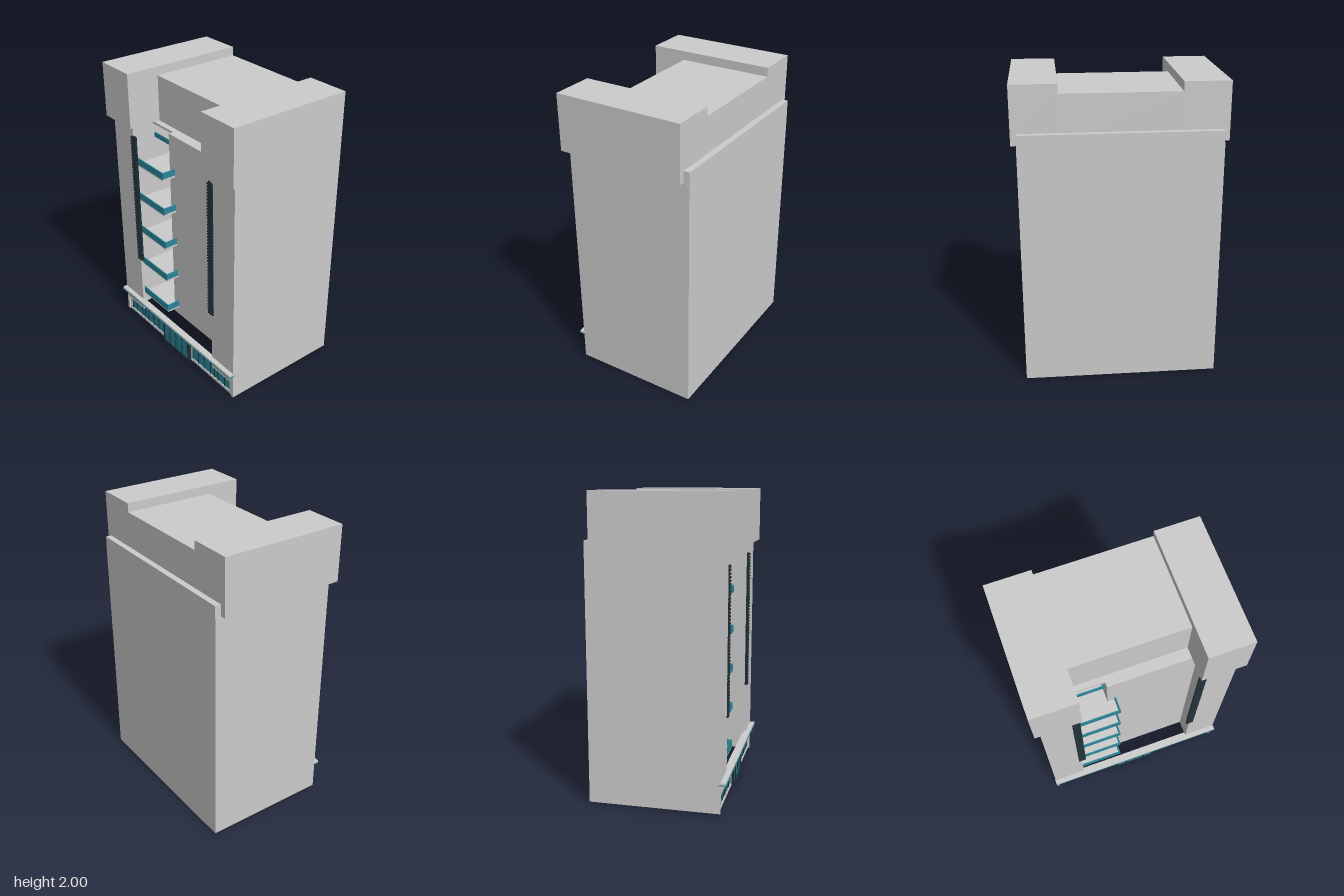
import * as THREE from 'three';

const grey = new THREE.MeshStandardMaterial({ color: 0xcccccc });
const teal = new THREE.MeshStandardMaterial({ color: 0x2a8799 });
const dark = new THREE.MeshStandardMaterial({ color: 0x1e2d33 });

export function createModel() {
  const model = new THREE.Group();

  // Box given by its minimum and maximum on each axis
  function box(parent, name, [x0, x1], [y0, y1], [z0, z1], material = grey) {
    const mesh = new THREE.Mesh(new THREE.BoxGeometry(x1 - x0, y1 - y0, z1 - z0), material);
    mesh.position.set((x0 + x1) / 2, (y0 + y1) / 2, (z0 + z1) / 2);
    mesh.name = name;
    parent.add(mesh);
    return mesh;
  }
  function group(name) {
    const g = new THREE.Group();
    g.name = name;
    model.add(g);
    return g;
  }
  // The same x span on either side of the centre
  const span = (s, a, b) => (s > 0 ? [a, b] : [-b, -a]);

  // Main shaft, its front bay and the raised rear parapet
  const shaft = group('shaft');
  box(shaft, 'mainBlock', [-0.64, 0.64], [0.2, 1.625], [-0.45, 0.1]);
  box(shaft, 'frontBay', [-0.17, 0.415], [0.2, 1.625], [0.1, 0.295]);
  box(shaft, 'rearParapet', [-0.637, 0.637], [1.625, 1.7], [-0.45, -0.41]);
  box(shaft, 'rearGroundWall', [-0.64, 0.64], [0.01, 0.2], [-0.45, -0.43]);

  // Crown between the two roof blocks
  box(model, 'crown', [-0.38, 0.38], [1.625, 1.94], [-0.41, 0.22]);

  // Mirrored towers, roof blocks, ground walls and louvres
  for (const s of [-1, 1]) {
    const side = group(s > 0 ? 'leftWing' : 'rightWing');
    box(side, 'tower', span(s, 0.415, 0.64), [0.2, 1.625], [0.1, 0.41]);
    box(side, 'roofBlock', span(s, 0.38, 0.675), [1.625, 2], [-0.41, 0.45]);
    box(side, 'groundWall', span(s, 0.62, 0.64), [0.01, 0.2], [-0.43, 0.41]);
    box(side, 'towerBand', span(s, 0.415, 0.62), [0.125, 0.2], [0.39, 0.41]);
    box(side, 'cornerPost', span(s, 0.595, 0.612), [0.01, 0.125], [0.385, 0.402]);

    const louvre = new THREE.Group();
    louvre.name = 'louvre';
    side.add(louvre);
    box(louvre, 'louvreBack', span(s, 0.39, 0.435), [0.58, 1.55], [0.4, 0.412], dark);
    for (let i = 0; i < 44; i++) {
      const y = 0.578 + i * 0.0222;
      box(louvre, 'slat', span(s, 0.387, 0.438), [y, y + 0.012], [0.405, 0.42], dark);
    }

    // Shop glazing with mullions
    const shop = new THREE.Group();
    shop.name = 'shopFront';
    side.add(shop);
    box(shop, 'shopGlass', span(s, 0.175, 0.595), [0.03, 0.18], [0.385, 0.393], teal);
    box(shop, 'shopSill', span(s, 0.175, 0.62), [0.01, 0.03], [0.38, 0.4]);
    for (const x of [0.175, 0.24, 0.305, 0.375, 0.42, 0.46, 0.53, 0.59]) {
      box(shop, 'mullion', span(s, x, x + 0.005), [0.03, 0.18], [0.383, 0.397], dark);
    }
    box(shop, 'doorPost', span(s, 0.163, 0.175), [0.01, 0.18], [0.385, 0.402]);
  }

  // Canopy and the fascia below it
  box(model, 'fascia', [-0.415, 0.415], [0.18, 0.2], [0.385, 0.402]);
  box(model, 'canopy', [-0.643, 0.643], [0.203, 0.217], [0.4, 0.443]);
  box(model, 'canopyTrim', [-0.645, 0.645], [0.198, 0.204], [0.4, 0.446], teal);

  // Projecting entrance
  const door = group('entrance');
  box(door, 'doorGlass', [-0.14, 0.14], [0.012, 0.168], [0.4, 0.412], teal);
  box(door, 'doorHead', [-0.15, 0.15], [0.168, 0.18], [0.39, 0.42], dark);
  box(door, 'doorSill', [-0.15, 0.15], [0, 0.012], [0.39, 0.42], dark);
  box(door, 'doorBack', [-0.14, 0.14], [0.012, 0.168], [0.39, 0.4], dark);
  for (const x of [-0.15, -0.075, -0.002, 0.071, 0.14]) {
    const w = Math.abs(x) > 0.13 ? 0.01 : 0.004;
    box(door, 'doorMullion', [x, x + w], [0.012, 0.168], [0.39, 0.418], dark);
  }

  // Five balconies stacked in the front recess
  for (let i = 0; i < 5; i++) {
    const y = 0.265 + i * 0.266;
    const b = group('balcony');
    box(b, 'slab', [-0.415, -0.17], [y, y + 0.015], [0.1, 0.39]);
    box(b, 'slabTip', [-0.17, -0.115], [y, y + 0.015], [0.295, 0.39]);
    box(b, 'frontRail', [-0.415, -0.115], [y + 0.012, y + 0.058], [0.385, 0.393], teal);
    box(b, 'endRail', [-0.123, -0.115], [y + 0.012, y + 0.058], [0.295, 0.385], teal);
    box(b, 'window', [-0.38, -0.17], [y + 0.015, y + 0.21], [0.1, 0.106], teal);
    box(b, 'windowHead', [-0.385, -0.17], [y + 0.208, y + 0.214], [0.1, 0.112], dark);
    for (const x of [-0.385, -0.305, -0.235]) {
      box(b, 'windowMullion', [x, x + 0.005], [y + 0.015, y + 0.21], [0.1, 0.112], dark);
    }
  }

  // Screen and lintel closing the top of the recess
  box(model, 'recessScreen', [-0.39, -0.17], [1.515, 1.548], [0.252, 0.26], teal);
  box(model, 'recessLintel', [-0.415, -0.17], [1.608, 1.625], [0.1, 0.26]);

  return model;
}
